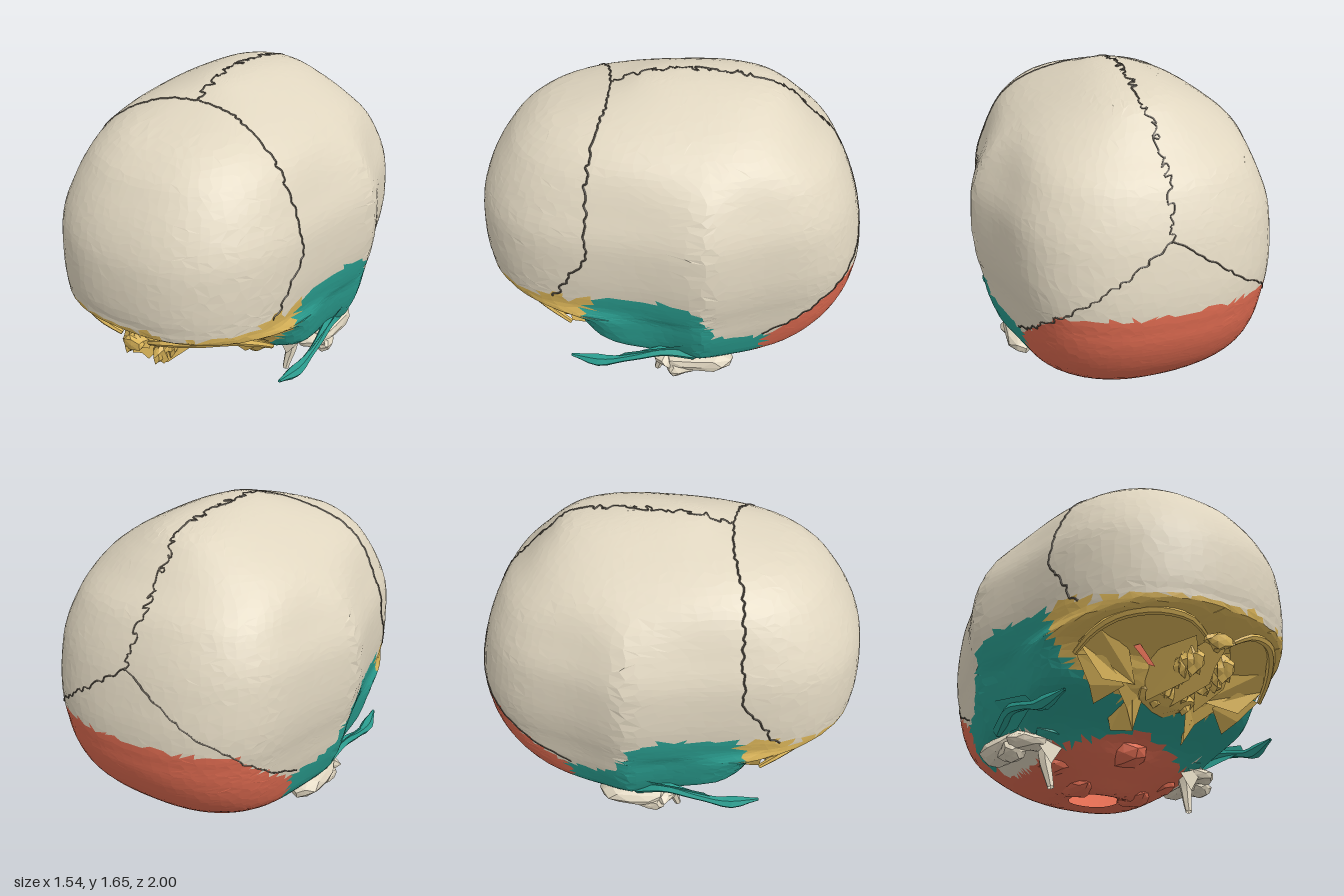
import * as THREE from 'three';

const material = (color) => new THREE.MeshStandardMaterial({ color, flatShading: true, side: THREE.DoubleSide });
const BONE = material(0xe0d6c0), TEAL = material(0x2a9d8f), RED = material(0xdd6a50);
const GOLD = material(0xdcb65a), DARK = material(0x5c554b);

// repeatable noise in -1..1
const noise = (a, b) => { const s = Math.sin(a * 127.1 + b * 311.7) * 43758.5453; return 2 * (s - Math.floor(s)) - 1; };
const V = (x, y, z) => new THREE.Vector3(x, y, z);

// horizontal sections from crown to foramen: y, front z, back z, half width, front squareness
const SECTIONS = [
  [1.65, -0.04, -0.041, 0.001, 2.2], [1.635, 0.14, -0.28, 0.11, 2.3], [1.59, 0.29, -0.5, 0.24, 2.6],
  [1.5, 0.61, -0.62, 0.42, 2.6], [1.4, 0.77, -0.72, 0.555, 2.5], [1.3, 0.855, -0.82, 0.65, 2.4],
  [1.2, 0.92, -0.88, 0.71, 2.35], [1.1, 0.965, -0.925, 0.75, 2.35], [1.0, 0.99, -0.957, 0.765, 2.35],
  [0.85, 1.0, -0.99, 0.768, 2.35], [0.73, 0.99, -1.0, 0.755, 2.4], [0.65, 0.94, -0.992, 0.738, 2.6],
  [0.585, 0.6, -0.983, 0.725, 4], [0.5, 0.53, -0.955, 0.71, 4], [0.4, 0.45, -0.9, 0.68, 4],
  [0.3, 0.24, -0.81, 0.63, 3], [0.2, 0.15, -0.69, 0.5, 2.5], [0.12, 0.07, -0.55, 0.37, 2.4],
  [0.055, 0.0, -0.37, 0.23, 2.2], [0.07, -0.06, -0.3, 0.13, 2],
];
const COLS = 92, ROWS = 68;

// temporal bone outline, upper edge of the occipital bone and coronal line, as z, y
const TEMPORAL = [[0.45, 0.62], [0.42, 0.74], [0.2, 0.76], [0.05, 0.77], [-0.1, 0.72], [-0.15, 0.62], [-0.2, 0.52],
  [-0.33, 0.46], [-0.46, 0.44], [-0.43, 0.25], [0.1, 0.22], [0.6, 0.3], [0.46, 0.4]];
const LAMBDOID = [[-1.1, 0.75], [-0.83, 0.72], [-0.65, 0.56], [-0.47, 0.44], [-0.43, 0.24]];
const CORONAL = [[0.62, 0.66], [0.57, 0.72], [0.53, 0.8], [0.46, 0.95], [0.43, 1.0], [0.4, 1.2], [0.36, 1.45], [0.31, 1.6]];

function inside(poly, a, b) {
  let hit = false;
  poly.forEach(([x1, y1], i) => {
    const [x2, y2] = poly[(i + 1) % poly.length];
    if ((y1 > b) !== (y2 > b) && a < x1 + ((x2 - x1) * (b - y1)) / (y2 - y1)) hit = !hit;
  });
  return hit;
}
function along(line, x, from = 0, to = 1) {
  for (let i = 1; i < line.length; i++) {
    const p = line[i - 1], q = line[i];
    if (x <= q[from]) return p[to] + ((q[to] - p[to]) * (x - p[from])) / (q[from] - p[from]);
  }
  return line[line.length - 1][to];
}

// which bone a point of the shell belongs to
function boneAt(c, ragged) {
  const ax = Math.abs(c.x), { y, z } = c;
  if (y > 0.15 && y < 0.27 && ax > 0.42 && z > -0.33) return 'mastoidBase';
  if (ax > 0.3 && inside(TEMPORAL, z, y)) return 'temporalBones';
  if (z > 0.4 && y < (z < 0.6 ? 0.735 : 0.7) + 0.025 * ragged && y > 0.39) return 'sphenoidAndBrow';
  if (z < 0.38 && y < (z < -0.43 ? along(LAMBDOID, z) : 0.32 - 0.25 * ax)) return 'occipitalBone';
  if (y < 0.45) return 'temporalBones';
  return z > along(CORONAL, y, 1, 0) ? 'frontalBone' : 'parietalBones';
}

// braincase vertices, slightly shuffled for irregular facets
function shellPoints() {
  const a = new THREE.CatmullRomCurve3(SECTIONS.map((s) => V(s[1], s[2], s[3])), false, 'catmullrom');
  const b = new THREE.CatmullRomCurve3(SECTIONS.map((s) => V(s[0], s[4], 0)), false, 'catmullrom');
  const rows = [];
  for (let j = 0; j <= ROWS; j++) {
    const row = [], loose = j < 2 || j > ROWS - 2 ? 0 : 0.32;
    for (let i = 0; i < COLS; i++) {
      const u = (j + loose * noise(i, j)) / ROWS;
      const { x: zf, y: zb, z: w } = a.getPoint(u), { x: y, y: nf } = b.getPoint(u);
      const mid = (zf + zb) / 2, zc = mid + (-0.13 - mid) * Math.min(1, w / 0.6);
      const t = ((i + loose * noise(j, i + 40)) / COLS) * Math.PI * 2, c = Math.cos(t), s = Math.sin(t);
      const n = c > 0 ? nf : 2.4, r = (Math.abs(c) ** n + Math.abs(s) ** n) ** (-1 / n), d = r * Math.abs(c);
      const pinch = 0.085 * THREE.MathUtils.smoothstep(w, 0.5, 0.72) * Math.sin(Math.PI * d ** 0.75) ** 2;
      row.push(V(r * s * w * (1 - pinch), y, zc + d * (c > 0 ? zf - zc : zb - zc)));
    }
    rows.push(row);
  }
  return rows;
}

function meshFrom(points, mat, name) {
  const g = new THREE.BufferGeometry().setFromPoints(points);
  g.computeVertexNormals();
  const m = new THREE.Mesh(g, mat);
  m.name = name;
  return m;
}

export function createModel() {
  const model = new THREE.Group();
  const add = (geo, mat, name) => {
    const m = new THREE.Mesh(geo, mat);
    m.name = name;
    model.add(m);
  };

  // braincase, sorted into bones
  const rows = shellPoints(), bones = {}, all = [];
  for (let j = 0; j < ROWS; j++) for (let i = 0; i < COLS; i++) {
    const k = (i + 1) % COLS, A = rows[j][i], B = rows[j + 1][i], C = rows[j + 1][k], D = rows[j][k];
    const split = noise(i, j + 5) > 0 ? [[A, B, D], [B, C, D]] : [[A, B, C], [A, C, D]];
    for (const tri of split) {
      const c = V(0, 0, 0).add(tri[0]).add(tri[1]).add(tri[2]).divideScalar(3);
      (bones[boneAt(c, noise(i, 3))] ??= []).push(...tri);
      all.push(...tri);
    }
  }
  const paint = { temporalBones: TEAL, sphenoidAndBrow: GOLD, occipitalBone: RED };
  for (const [name, pts] of Object.entries(bones)) model.add(meshFrom(pts, paint[name] ?? BONE, name));

  // sutures: ragged lines projected onto the braincase
  const shell = meshFrom(all, BONE, 'shell'), centre = V(0, 0.9, 0), ray = new THREE.Raycaster();
  const suture = (name, pts, wiggle, count) => {
    const curve = new THREE.CatmullRomCurve3(pts.map((p) => V(...p)));
    const draped = curve.getSpacedPoints(count).map((p, i) => {
      const r = wiggle * noise(i, pts.length), q = wiggle * noise(i, 9);
      ray.set(centre, p.add(V(r, q * 0.6, q)).sub(centre).normalize());
      const hit = ray.intersectObject(shell)[0];
      return hit ? hit.point : p.add(centre);
    });
    add(new THREE.TubeGeometry(new THREE.CatmullRomCurve3(draped), count * 3, 0.005, 4), DARK, name);
  };
  suture('sagittalSuture', [[0, 1.59, 0.31], [-0.02, 1.65, 0], [0, 1.59, -0.5], [-0.02, 1.41, -0.71], [0, 1.08, -0.93]], 0.025, 85);
  for (const s of [1, -1]) {
    suture('coronalSuture', [[0, 1.59, 0.31], [s * 0.2, 1.57, 0.33], [s * 0.39, 1.45, 0.37], [s * 0.55, 1.24, 0.4],
      [s * 0.64, 1, 0.43], [s * 0.61, 0.85, 0.51], [s * 0.56, 0.72, 0.57]], 0.011, 60);
    suture('lambdoidSuture', [[0, 1.08, -0.93], [s * 0.2, 0.95, -0.97], [s * 0.36, 0.83, -0.93], [s * 0.5, 0.72, -0.82],
      [s * 0.6, 0.56, -0.65], [s * 0.64, 0.44, -0.47]], 0.012, 42);
  }

  // rough faceted lump
  const lump = (name, mat, p, r, seed, rough = 0.15) => {
    const g = new THREE.IcosahedronGeometry(1, 1), a = g.attributes.position;
    for (let i = 0; i < a.count; i++) {
      const x = a.getX(i), y = a.getY(i), z = a.getZ(i);
      const k = 1 + rough * Math.sin(seed * 5 + x * 7 + y * 11 + z * 5);
      a.setXYZ(i, x * k, y * k, z * k);
    }
    g.scale(...r);
    g.translate(...p);
    g.computeVertexNormals();
    add(g, mat, name);
  };
  // bar along a path, with its radius from a rule
  const bar = (name, mat, pts, radius) => {
    const curve = new THREE.CatmullRomCurve3(pts.map((p) => V(...p))), n = 14;
    const g = new THREE.TubeGeometry(curve, n, 1, 6), a = g.attributes.position;
    for (let i = 0; i < a.count; i++) {
      const t = Math.floor(i / 7) / n, c = curve.getPointAt(t);
      const d = V(0, 0, 0).fromBufferAttribute(a, i).sub(c).multiplyScalar(radius(t)).add(c);
      a.setXYZ(i, d.x, d.y, d.z);
    }
    add(g, mat, name);
  };
  // thin plate through a loop of corners
  const plate = (name, mat, pts) => {
    const p = pts.map((q) => V(...q)), tris = [];
    for (let i = 1; i < p.length - 1; i++) tris.push(p[0], p[i], p[i + 1]);
    model.add(meshFrom(tris, mat, name));
  };

  for (const s of [1, -1]) {
    const m = (pts) => pts.map(([x, y, z]) => [s * x, y, z]);
    // orbit rim and walls
    bar('orbitRim', GOLD, m([[0.08, 0.57, 0.89], [0.17, 0.615, 0.91], [0.32, 0.64, 0.86], [0.45, 0.625, 0.74], [0.52, 0.57, 0.63], [0.55, 0.5, 0.53]]),
      (t) => 0.012 + 0.01 * Math.sin(Math.PI * t));
    plate('orbitWall', GOLD, m([[0.2, 0.44, 0.5], [0.4, 0.41, 0.53], [0.55, 0.55, 0.56], [0.5, 0.62, 0.64], [0.3, 0.6, 0.59]]));
    plate('orbitInnerWall', GOLD, m([[0.1, 0.58, 0.85], [0.09, 0.45, 0.84], [0.1, 0.385, 0.78], [0.14, 0.37, 0.5], [0.16, 0.6, 0.52]]));
    plate('orbitalFissure', RED, m([[0.16, 0.5, 0.61], [0.2, 0.5, 0.61], [0.29, 0.57, 0.62], [0.25, 0.59, 0.62]]));
    // pterygoid plates and lower wing
    plate('pterygoidPlate', GOLD, m([[0.12, 0.46, 0.48], [0.15, 0.25, 0.4], [0.2, 0.34, 0.43], [0.32, 0.44, 0.5]]));
    plate('pterygoidPlate', GOLD, m([[0.2, 0.46, 0.48], [0.15, 0.25, 0.4], [0.21, 0.27, 0.3], [0.24, 0.42, 0.3]]));
    plate('lowerWing', GOLD, m([[0.26, 0.42, 0.5], [0.38, 0.33, 0.42], [0.44, 0.39, 0.48], [0.54, 0.5, 0.53], [0.4, 0.52, 0.55]]));
    // ethmoid cells
    for (let i = 0; i < 9; i++)
      lump('ethmoidCell', GOLD, [s * (0.07 + 0.025 * noise(i, 1)), 0.455 + 0.05 * noise(i, 2), 0.48 + i * 0.042],
        [0.035, 0.06 + 0.015 * noise(i, 4), 0.045], i, 0.3);
    // zygomatic process
    bar('zygomaticProcess', TEAL, m([[0.6, 0.31, -0.1], [0.63, 0.36, 0.06], [0.64, 0.33, 0.22], [0.625, 0.29, 0.38], [0.6, 0.31, 0.54]]),
      (t) => 0.036 - 0.03 * t + 0.022 * Math.exp(-(((t - 0.8) / 0.13) ** 2)));
    plate('zygomaticRoot', TEAL, m([[0.67, 0.44, -0.06], [0.65, 0.37, 0.26], [0.63, 0.32, 0.3], [0.58, 0.28, 0.05], [0.6, 0.3, -0.2]]));
    // mastoid and ear region
    lump('mastoidProcess', BONE, [s * 0.555, 0.23, -0.14], [0.085, 0.065, 0.19], 2, 0.1);
    lump('mastoidProcess', BONE, [s * 0.57, 0.19, -0.02], [0.06, 0.05, 0.08], 5);
    lump('earCanalRim', BONE, [s * 0.51, 0.23, 0.05], [0.11, 0.045, 0.06], 3);
    // styloid process
    bar('styloidProcess', BONE, m([[0.42, 0.25, 0.04], [0.425, 0.14, 0.06], [0.415, 0.06, 0.08], [0.41, 0.008, 0.095]]),
      (t) => 0.045 - 0.028 * t);
    plate('styloidSheath', BONE, m([[0.34, 0.24, 0.1], [0.42, 0.12, 0.11], [0.47, 0.19, 0.1], [0.52, 0.26, 0.09]]));
    // occipital condyles and side ridges
    lump('occipitalCondyle', RED, [s * 0.17, 0.085, -0.07], [0.08, 0.045, 0.11], 4, 0.1);
    lump('jugularRidge', RED, [s * 0.31, 0.17, -0.04], [0.1, 0.06, 0.09], 7, 0.1);
    lump('petrousRidge', TEAL, [s * 0.36, 0.28, 0.06], [0.15, 0.05, 0.1], 1);
  }

  // midline of the cranial base
  plate('ethmoidPlate', GOLD, [[0, 0.6, 0.9], [0, 0.5, 0.92], [0, 0.45, 0.85], [0, 0.38, 0.8], [0, 0.37, 0.48], [0, 0.6, 0.5]]);
  lump('nasalSpine', GOLD, [0, 0.55, 0.89], [0.07, 0.045, 0.035], 2, 0.3);
  lump('sphenoidBody', GOLD, [0, 0.43, 0.43], [0.17, 0.07, 0.12], 6);
  lump('basilarPart', RED, [0, 0.24, 0.1], [0.13, 0.08, 0.12], 3, 0.1);
  return model;
}
